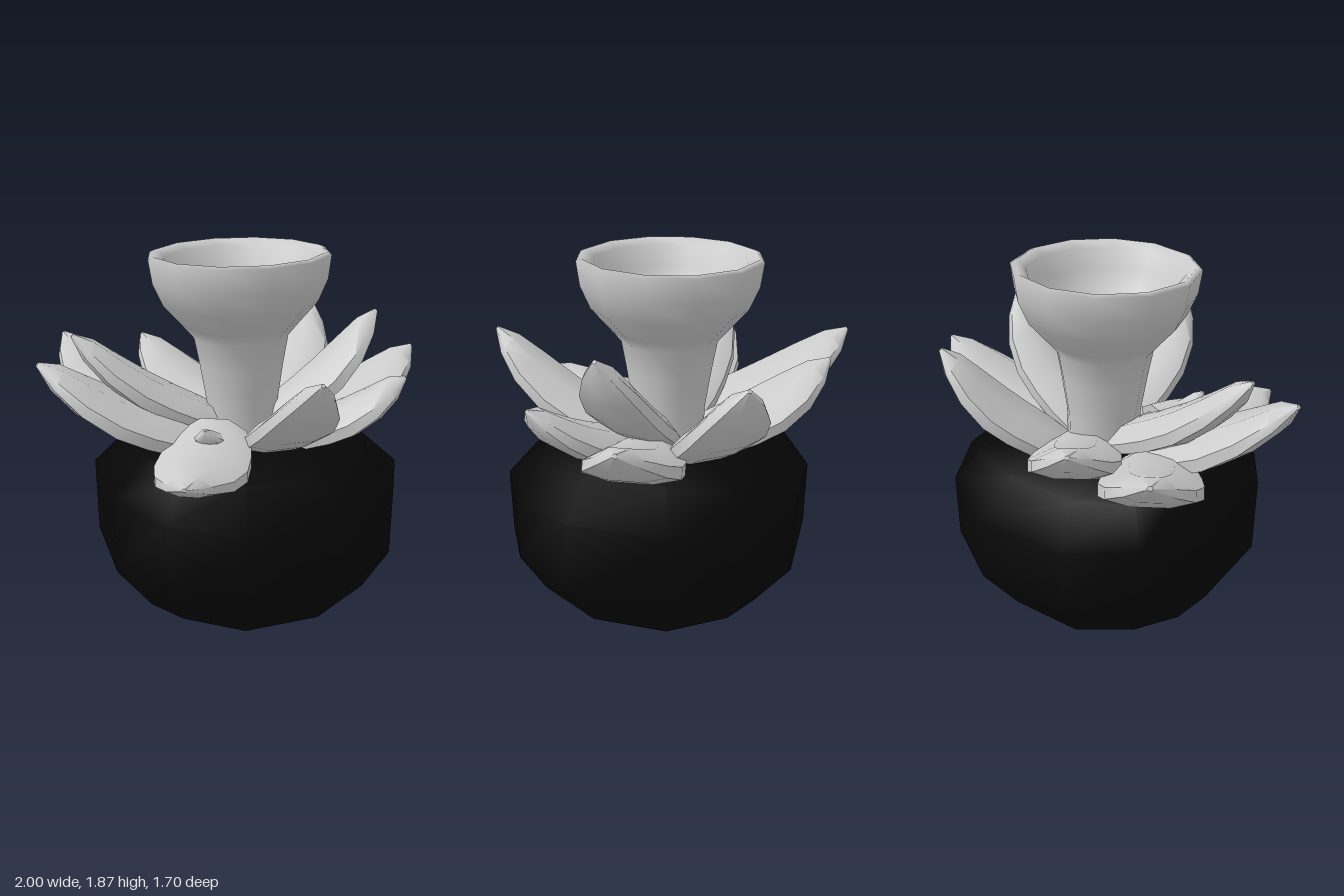
import * as THREE from 'three';
import { mergeVertices, toCreasedNormals } from 'three/addons/utils/BufferGeometryUtils.js';

const V = (a) => new THREE.Vector3(...a);

// Rounded low-poly pot: a 3x3x3 box blown up to a ball, then squashed by height levels
function potGeometry() {
  let g = new THREE.BoxGeometry(2, 2, 2, 3, 3, 3);
  g.deleteAttribute('uv');
  g.deleteAttribute('normal');
  g = mergeVertices(g);
  const levels = [[-0.75, 0], [-0.74, 0], [-0.565, 0.145], [-0.25, 0.4], [0.25, 0.77], [0.565, 0.935], [0.74, 0.97], [0.75, 0.97]];
  const p = g.attributes.position;
  const v = new THREE.Vector3();
  for (let i = 0; i < p.count; i++) {
    v.fromBufferAttribute(p, i).setLength(0.818);
    let y = 0;
    for (let k = 0; k < levels.length - 1; k++) {
      const [a, ya] = levels[k], [b, yb] = levels[k + 1];
      if (v.y >= a && v.y <= b) y = ya + (yb - ya) * (v.y - a) / (b - a);
    }
    // the shoulders sit a little higher on the sides, and the top corners are lifted
    if (v.y > 0 && v.y < 0.7) y += 0.05 * (Math.abs(v.x) - Math.abs(v.z));
    if (v.y > 0 && Math.min(Math.abs(v.x), Math.abs(v.z)) > 0.4) y += 0.05;
    p.setXYZ(i, v.x + 0.01, y, v.z);
  }
  g.computeVertexNormals();
  return g;
}

// Fleshy pointed petal: eight-sided cushion sections swept from root to tip
function petalGeometry(base, tip, width, thick) {
  const a = V(base), b = V(tip);
  const dir = b.clone().sub(a).normalize();
  const side = dir.clone().cross(new THREE.Vector3(0, 1, 0)).normalize();
  const up = side.clone().cross(dir);
  const rows = [[-0.2, 0.72], [0, 0.92], [0.2, 0.99], [0.42, 1], [0.66, 0.82], [0.86, 0.46], [1, 0.05]];
  // side and up offsets, as fractions of width and thickness
  const ring = [[0.5, -0.3], [0.5, 0.1], [0.22, 0.6], [-0.22, 0.6], [-0.5, 0.1], [-0.5, -0.3], [-0.22, -0.52], [0.22, -0.52]];
  const n = ring.length, pos = [], idx = [];
  rows.forEach(([t, w]) => {
    const c = a.clone().lerp(b, t).addScaledVector(up, -0.045 * Math.sin(Math.PI * t));
    const h = thick * (0.35 + 0.65 * w) * (t === 1 ? 0.3 : 1);
    for (const [s, u] of ring) {
      const q = c.clone().addScaledVector(side, s * w * width).addScaledVector(up, u * h);
      pos.push(q.x, q.y, q.z);
    }
  });
  for (let k = 0; k < rows.length - 1; k++) {
    for (let j = 0; j < n; j++) {
      const p0 = k * n + j, p1 = k * n + (j + 1) % n;
      idx.push(p0, p1 + n, p1, p0, p0 + n, p1 + n);
    }
  }
  const last = (rows.length - 1) * n;
  for (let j = 1; j < n - 1; j++) {
    idx.push(0, j, j + 1, last, last + j + 1, last + j);
  }
  const g = new THREE.BufferGeometry();
  g.setAttribute('position', new THREE.Float32BufferAttribute(pos, 3));
  g.setIndex(idx);
  return toCreasedNormals(g, 0.85);
}

export function createModel() {
  const black = new THREE.MeshStandardMaterial({ color: 0x050505 });
  black.name = 'potBlack';
  const grey = new THREE.MeshStandardMaterial({ color: 0xcccccc });
  grey.name = 'paleGrey';
  const model = new THREE.Group();
  model.name = 'pottedCandleFlower';
  const add = (name, geometry, material, parent = model) => {
    const mesh = new THREE.Mesh(geometry, material);
    mesh.name = name;
    parent.add(mesh);
    return mesh;
  };

  add('pot', potGeometry(), black);

  // Stem flaring into a thick-walled cup, hollow down the middle
  const profile = [
    [0.18, 0.93], [0.185, 1.12], [0.215, 1.32], [0.24, 1.46], [0.29, 1.52], [0.385, 1.63],
    [0.432, 1.74], [0.447, 1.855], [0.42, 1.866], [0.375, 1.835], [0.335, 1.74], [0.28, 1.65],
    [0.18, 1.55], [0.1, 1.4], [0.055, 1.15], [0.05, 0.95],
  ].map(([r, y]) => new THREE.Vector2(r, y));
  const cup = add('stemAndCup', new THREE.LatheGeometry(profile, 12), grey);
  cup.position.set(0.03, 0, -0.047);
  cup.rotation.z = 0.02;

  // Petals: base, tip, width, thickness
  const petals = [
    [[-0.41, 0.99, -0.25], [-0.77, 1.33, -0.85], 0.46, 0.14],
    [[0.0, 0.98, -0.27], [-0.34, 1.3, -0.8], 0.43, 0.14],
    [[0.25, 1.01, -0.28], [0.6, 1.47, -0.55], 0.4, 0.14],
    [[0.38, 0.99, -0.02], [0.99, 1.3, -0.09], 0.45, 0.14],
    [[0.22, 1.06, 0.01], [0.67, 1.56, 0.1], 0.36, 0.14],
    [[0.28, 0.99, 0.18], [0.68, 1.3, 0.42], 0.36, 0.14],
    [[0.08, 1.0, 0.25], [0.06, 1.45, 0.84], 0.36, 0.14],
    [[-0.25, 1.01, 0.25], [-0.52, 1.04, 0.78], 0.43, 0.13],
    [[-0.16, 1.0, 0.15], [-0.32, 1.13, 0.39], 0.2, 0.09],
    [[-0.38, 1.0, 0.0], [-1.0, 1.4, -0.02], 0.53, 0.15],
    [[-0.24, 1.06, -0.07], [-0.82, 1.5, -0.11], 0.36, 0.14],
  ];
  const flower = new THREE.Group();
  flower.name = 'petals';
  model.add(flower);
  petals.forEach((p, i) => add('petal' + (i + 1), petalGeometry(...p), grey, flower));

  return model;
}
